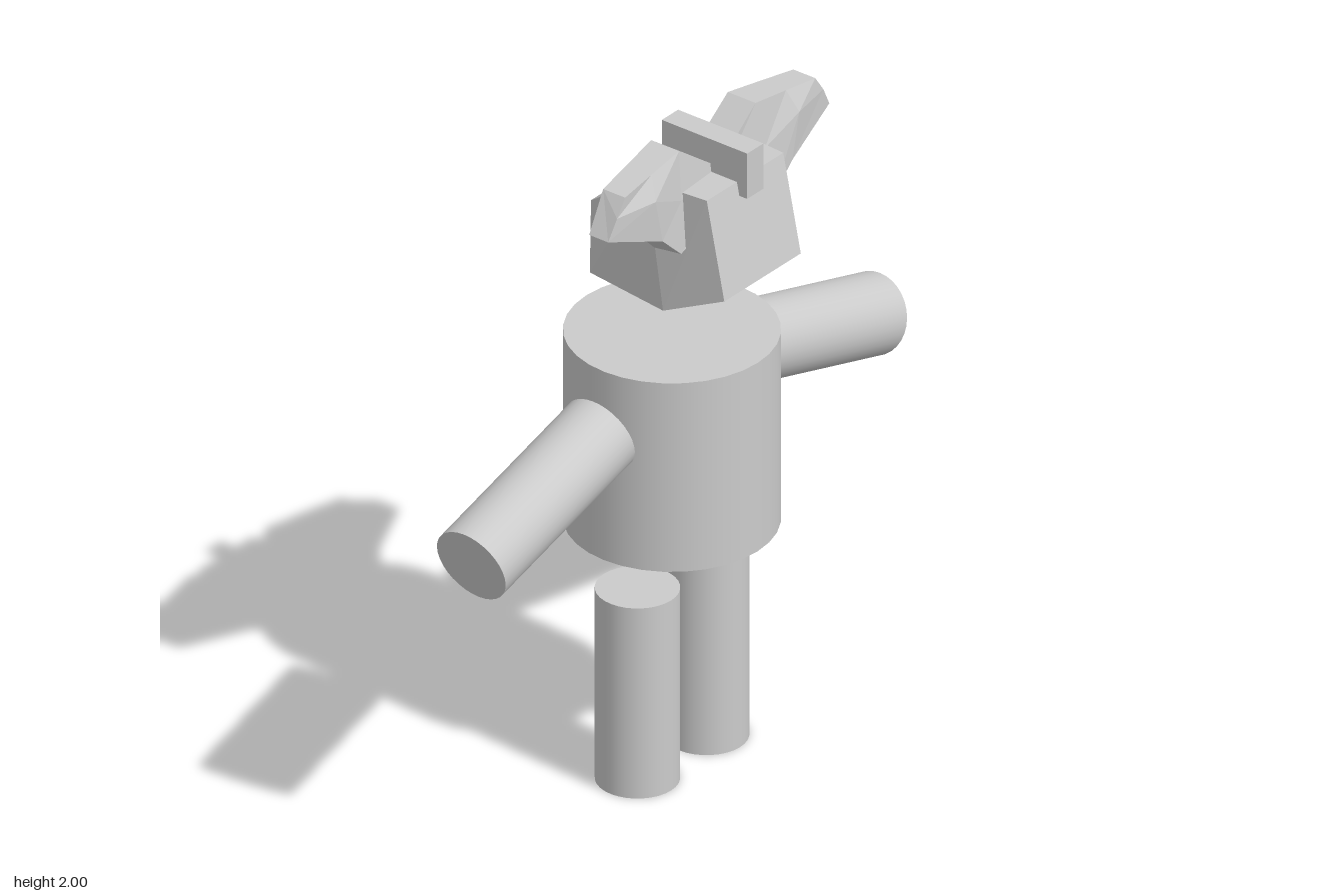
import * as THREE from 'three';
import { ConvexGeometry } from 'three/addons/geometries/ConvexGeometry.js';

const smooth = new THREE.MeshStandardMaterial({ color: 0xcccccc });
const faceted = new THREE.MeshStandardMaterial({ color: 0xcccccc, flatShading: true });
const CX = -0.01; // body axis

function add(parent, name, geometry, material) {
  const mesh = new THREE.Mesh(geometry, material);
  mesh.name = name;
  parent.add(mesh);
  return mesh;
}

function cylinder(parent, name, radius, height, y, z) {
  const mesh = add(parent, name, new THREE.CylinderGeometry(radius, radius, height, 32), smooth);
  mesh.position.set(CX, y, z);
  return mesh;
}

// Skin a row of equal-sized rings, with a cap at each end
function loft(rings) {
  const n = rings[0].length, index = [];
  rings.slice(1).forEach((_, r) => {
    for (let i = 0; i < n; i++) {
      const a = r * n + i, b = r * n + (i + 1) % n;
      index.push(a, b, a + n, b, b + n, a + n);
    }
  });
  const last = (rings.length - 1) * n;
  for (let i = 1; i < n - 1; i++) {
    index.push(0, i + 1, i, last, last + i, last + i + 1);
  }
  const geometry = new THREE.BufferGeometry();
  geometry.setAttribute('position', new THREE.Float32BufferAttribute(rings.flat(2), 3));
  geometry.setIndex(index);
  const flat = geometry.toNonIndexed();
  flat.computeVertexNormals();
  return flat;
}

export function createModel() {
  const model = new THREE.Group();
  model.name = 'figure';

  cylinder(model, 'torso', 0.293, 0.583, 1.028, 0);

  // Legs and slanted arms, one per side
  for (const s of [1, -1]) {
    const side = s > 0 ? 'Front' : 'Back';
    cylinder(model, 'leg' + side, 0.115, 0.588, 0.294, s * 0.149);
    const arm = cylinder(model, 'arm' + side, 0.115, 0.58, 1.058, s * 0.587);
    arm.rotation.x = s * (Math.PI / 2 + 0.28);
  }

  const head = new THREE.Group();
  head.name = 'head';
  model.add(head);

  // Wedge-shaped skull: corner [x, y, half width]
  const corners = [
    [-0.2, 1.7, 0.11], [-0.18, 1.497, 0.14],
    [0.045, 1.88, 0.18], [0.11, 1.505, 0.19],
    [0.24, 1.88, 0.165], [0.3, 1.59, 0.165],
  ];
  const points = corners.flatMap(([x, y, z]) =>
    [new THREE.Vector3(x, y, z), new THREE.Vector3(x, y, -z)]);
  add(head, 'skull', new ConvexGeometry(points), faceted);

  // Ears: rings run from the middle of the head to the tip
  // ring order: back top, back bottom, front bottom, front middle, front top
  const earRings = [
    [[0.05, 1.88, 0], [0.08, 1.75, 0], [0.16, 1.75, 0], [0.15, 1.82, 0], [0.15, 1.88, 0]],
    [[0.05, 2, 0.165], [0.08, 1.69, 0.19], [0.18, 1.71, 0.2], [0.165, 1.86, 0.18], [0.145, 2, 0.165]],
    [[0.065, 1.985, 0.29], [0.11, 1.77, 0.28], [0.18, 1.785, 0.28], [0.18, 1.92, 0.31], [0.15, 1.985, 0.29]],
    [[0.08, 1.97, 0.41], [0.085, 1.86, 0.477], [0.15, 1.86, 0.477], [0.155, 1.92, 0.445], [0.155, 1.97, 0.41]],
  ];
  for (const s of [1, -1]) {
    // Mirroring reverses the ring order so the faces still point outward
    const rings = earRings.map(ring => {
      const r = ring.map(([x, y, z]) => [x, y, s * z]);
      return s > 0 ? r : r.reverse();
    });
    add(head, s > 0 ? 'earFront' : 'earBack', loft(rings), faceted);
  }

  // Thin upright crest over the top of the head
  const crest = add(head, 'crest', new THREE.BoxGeometry(0.292, 0.14, 0.07), faceted);
  crest.position.set(0.129, 1.91, 0);

  return model;
}
